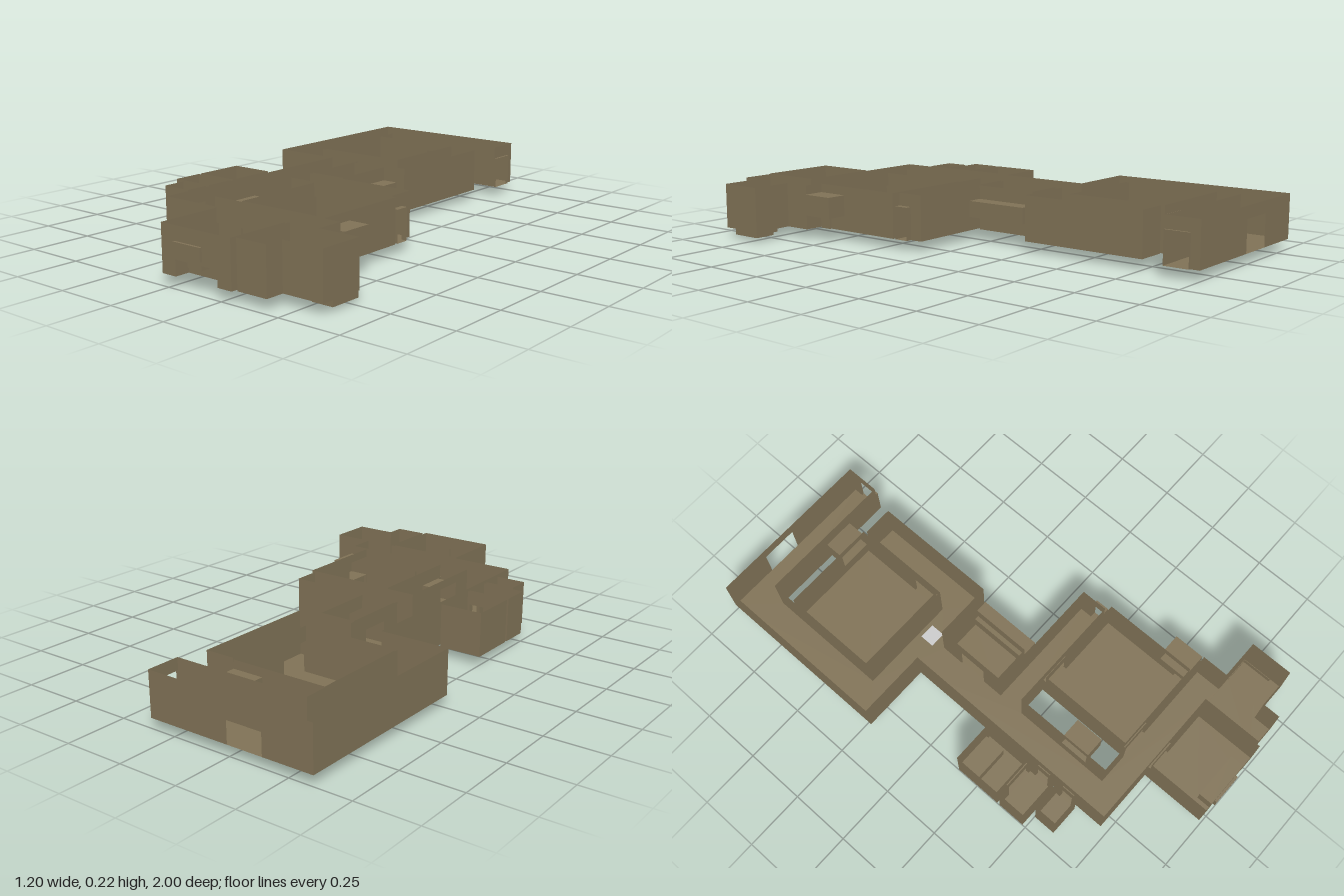
import * as THREE from 'three';

const FLOOR = 0.04, TOP = 0.22, DOOR = 0.165;
const brown = new THREE.MeshStandardMaterial({ color: 0x807256, side: THREE.DoubleSide });
const grey = new THREE.MeshStandardMaterial({ color: 0xcccccc });

const rect = (x0, x1, z0, z1) => [[x0, z0], [x1, z0], [x1, z1], [x0, z1]];

// Rooms: name, floor plan outline, floor holes, optional separate floor outline
const rooms = [
  ['corridor', [
    [-0.6, -1], [0.11, -1], [0.11, -0.86], [-0.465, -0.86], [-0.465, -0.347], [-0.05, -0.347],
    [-0.05, -0.75], [0.075, -0.75], [0.075, -0.227], [-0.17, -0.227], [-0.17, 0.08], [0.33, 0.08],
    [0.33, 0.19], [-0.17, 0.19], [-0.17, 0.61], [0.43, 0.61], [0.43, 0.72], [0.6, 0.72],
    [0.6, 0.9], [0.43, 0.9], [0.43, 0.975], [0.3, 0.975], [0.3, 0.72], [-0.31, 0.72],
    [-0.31, -0.227], [-0.6, -0.227]], [rect(0.488, 0.598, 0.722, 0.85)]],
  ['northHall', rect(-0.46, -0.06, -0.76, -0.36)],
  ['middleRoom', rect(-0.165, -0.01, -0.2, 0.065)],
  ['southHall', rect(-0.04, 0.355, 0.203, 0.6)],
  ['frontRoom', rect(-0.04, 0.288, 0.73, 0.99), [], [
    [-0.04, 0.73], [0.288, 0.73], [0.288, 0.99], [0.225, 0.99], [0.225, 0.93],
    [0.025, 0.93], [0.025, 0.99], [-0.04, 0.99]]],
  ['sideRoomLarge', rect(-0.505, -0.325, 0.16, 0.36)],
  ['sideRoomMedium', rect(-0.505, -0.325, 0.373, 0.49)],
  ['sideRoomSmall', rect(-0.45, -0.325, 0.507, 0.6)],
];

// Hollow pieces: name, x range, y range, z range, open sides.
// Walls lying on an open side are cut through there.
const shells = [
  ['northDoorway', 0.11, 0.12, FLOOR, 0.17, -0.962, -0.86, ['+x', '-x']],
  ['eastDoorway', 0.33, 0.355, FLOOR, 0.17, 0.132, 0.19, ['+x', '-x']],
  ['northHallPassage', -0.06, -0.05, FLOOR, DOOR, -0.49, -0.36, ['+x', '-x']],
  ['middleRoomPassage', -0.17, -0.165, FLOOR, DOOR, -0.13, -0.01, ['+x', '-x']],
  ['southHallBackPassage', -0.04, 0.09, FLOOR, DOOR, 0.19, 0.203, ['+z', '-z']],
  ['southHallFrontPassage', -0.04, 0.09, FLOOR, DOOR, 0.6, 0.61, ['+z', '-z']],
  ['frontRoomPassage', -0.04, 0.09, FLOOR, DOOR, 0.72, 0.73, ['+z', '-z']],
  ['sideRoomPassage', -0.325, -0.31, FLOOR, DOOR, 0.4, 0.46, ['+x', '-x']],
  ['sideRoomPassage', -0.325, -0.31, FLOOR, DOOR, 0.525, 0.58, ['+x', '-x']],
  ['sideRoomLink', -0.45, -0.335, FLOOR, DOOR, 0.36, 0.373, ['+z', '-z']],
  ['northAlcove', -0.19, -0.06, 0.1, 0.185, -0.845, -0.76, ['+z']],
  ['middleAlcove', -0.01, 0.055, 0.1, DOOR, -0.2, 0.065, ['-x']],
  ['eastAlcove', 0.355, 0.44, 0.1, 0.185, 0.47, 0.6, ['-x']],
  ['eastNiche', 0.355, 0.365, FLOOR, 0.1, 0.545, 0.595, ['-x']],
  ['courtAlcove', -0.17, -0.08, 0.1, 0.185, 0.4, 0.52, ['-x']],
  ['frontAlcove', 0.025, 0.155, 0.115, DOOR, 0.99, 1, ['-z']],
  ['frontRecess', 0.025, 0.225, FLOOR, 0.1, 0.93, 0.99, ['+z', '-y']],
  ['recessLedge', 0.08, 0.145, 0.08, 0.1, 0.94, 0.985, ['+y']],
  ['upperStep', 0.488, 0.512, 0.027, FLOOR, 0.722, 0.85, ['+y', '+x']],
  ['lowerStep', 0.512, 0.598, 0.016, FLOOR, 0.722, 0.85, ['+y', '-x']],
  ['stepRiser', 0.511, 0.512, 0.016, 0.027, 0.722, 0.85, ['+y', '-y', '+x']],
  ['bench', -0.5, -0.345, FLOOR, 0.1, 0.162, 0.25, ['-y']],
];

// Doorway in the outer back wall
const extraOpenings = [{ axis: 'z', at: -1, a: -0.39, b: -0.24, y0: FLOOR, y1: 0.17 }];

const openings = [...extraOpenings];
for (const [, x0, x1, y0, y1, z0, z1, open] of shells) {
  for (const side of open) {
    const at = { '+x': x1, '-x': x0, '+z': z1, '-z': z0 }[side];
    if (at === undefined) continue;
    const axis = side[1];
    openings.push({ axis, at, a: axis === 'x' ? z0 : x0, b: axis === 'x' ? z1 : x1, y0, y1 });
  }
}

// Box with chosen sides left out
function shell([name, x0, x1, y0, y1, z0, z1, open]) {
  const g = new THREE.BoxGeometry(x1 - x0, y1 - y0, z1 - z0);
  const sides = ['+x', '-x', '+y', '-y', '+z', '-z'];
  const index = [...g.index.array].filter((_, i) => !open.includes(sides[Math.floor(i / 6)]));
  g.setIndex(index);
  g.clearGroups();
  g.translate((x0 + x1) / 2, (y0 + y1) / 2, (z0 + z1) / 2);
  const mesh = new THREE.Mesh(g, brown);
  mesh.name = name;
  return mesh;
}

// Flat floor from an outline
function floor(outline, holes) {
  const pts = (loop) => loop.map(([x, z]) => new THREE.Vector2(x, -z));
  const shape = new THREE.Shape(pts(outline));
  shape.holes = holes.map((h) => new THREE.Path(pts(h)));
  const mesh = new THREE.Mesh(new THREE.ShapeGeometry(shape).rotateX(-Math.PI / 2), brown);
  mesh.position.y = FLOOR;
  mesh.name = 'floor';
  return mesh;
}

// Thin walls around an outline: each is split into panels, leaving out the openings
function walls(outline) {
  const pos = [];
  outline.forEach((p, i) => {
    const q = outline[(i + 1) % outline.length];
    const axis = p[0] === q[0] ? 'x' : 'z';
    const at = axis === 'x' ? p[0] : p[1];
    const k = axis === 'x' ? 1 : 0;
    const lo = Math.min(p[k], q[k]), hi = Math.max(p[k], q[k]);
    const cuts = openings.filter((o) => o.axis === axis && Math.abs(o.at - at) < 0.003 && o.b > lo && o.a < hi);
    const sorted = (values, min, max) =>
      [...new Set([min, max, ...values.filter((v) => v > min && v < max)])].sort((a, b) => a - b);
    const us = sorted(cuts.flatMap((o) => [o.a, o.b]), lo, hi);
    const ys = sorted(cuts.flatMap((o) => [o.y0, o.y1]), FLOOR, TOP);
    const point = (u, y) => (axis === 'x' ? [at, y, u] : [u, y, at]);
    for (let m = 0; m + 1 < us.length; m++) {
      for (let n = 0; n + 1 < ys.length; n++) {
        const u = (us[m] + us[m + 1]) / 2, y = (ys[n] + ys[n + 1]) / 2;
        if (cuts.some((o) => u > o.a && u < o.b && y > o.y0 && y < o.y1)) continue;
        const a = point(us[m], ys[n]), b = point(us[m + 1], ys[n]);
        const c = point(us[m + 1], ys[n + 1]), d = point(us[m], ys[n + 1]);
        pos.push(...a, ...b, ...c, ...a, ...c, ...d);
      }
    }
  });
  const g = new THREE.BufferGeometry();
  g.setAttribute('position', new THREE.Float32BufferAttribute(pos, 3));
  g.computeVertexNormals();
  const mesh = new THREE.Mesh(g, brown);
  mesh.name = 'walls';
  return mesh;
}

export function createModel() {
  const model = new THREE.Group();
  model.name = 'floorPlan';
  for (const [name, outline, holes = [], floorOutline = outline] of rooms) {
    const room = new THREE.Group();
    room.name = name;
    room.add(floor(floorOutline, holes), walls(outline));
    model.add(room);
  }
  shells.forEach((s) => model.add(shell(s)));

  // Small block set through the corridor floor
  const block = new THREE.Mesh(new THREE.BoxGeometry(0.065, 0.042, 0.06), grey);
  block.position.set(-0.163, 0.021, -0.3);
  block.name = 'floorBlock';
  model.add(block);
  return model;
}
